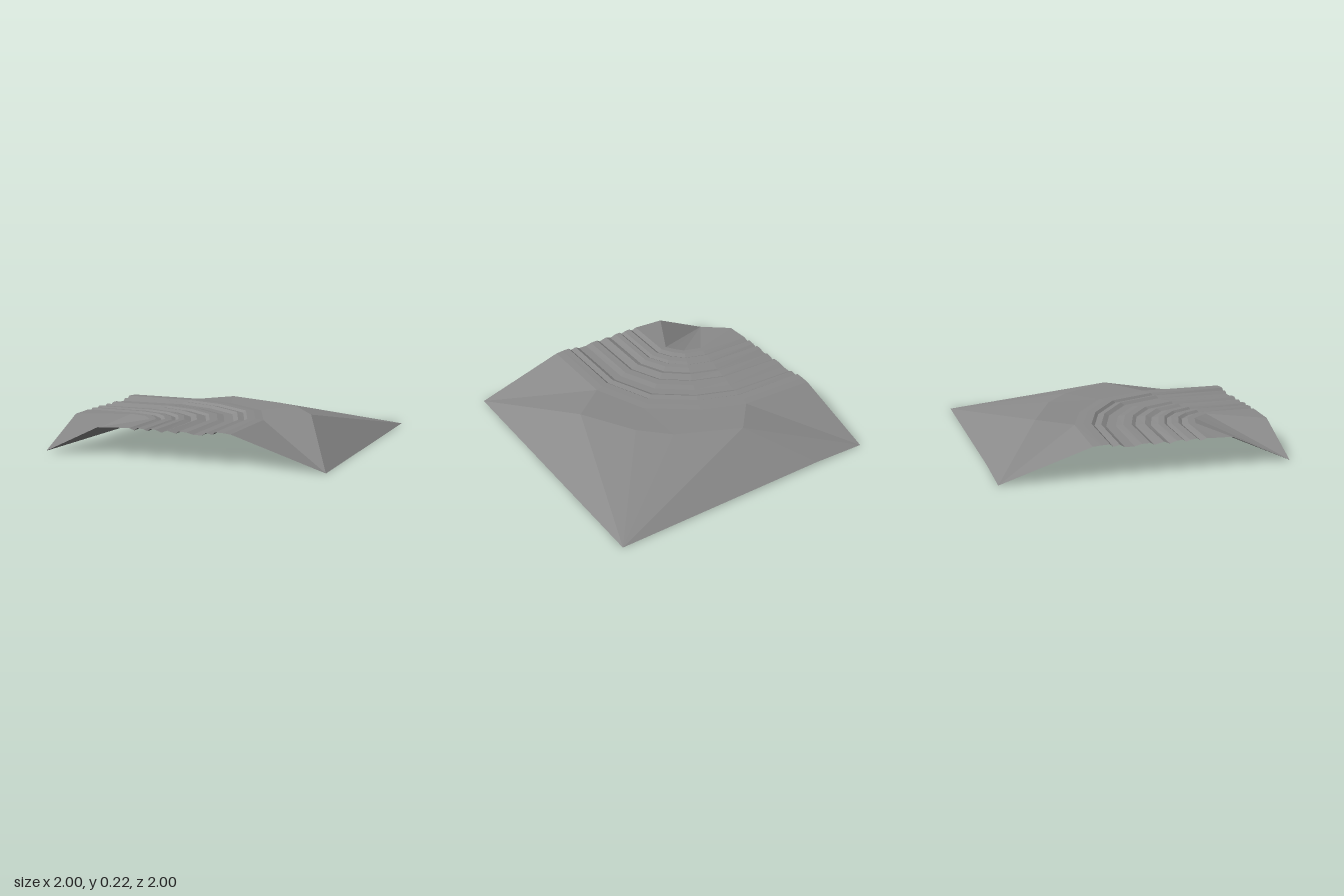
import * as THREE from 'three';

const earth = new THREE.MeshStandardMaterial({ color: 0x8a8a8a, flatShading: true, side: THREE.DoubleSide });
earth.name = 'grey earth';

// Faceted sheet from triangles of points, every face turned upwards
function sheet(name, triangles) {
  const points = [];
  for (const [a, b, c] of triangles) {
    const up = (b[2] - a[2]) * (c[0] - a[0]) - (b[0] - a[0]) * (c[2] - a[2]);
    points.push(...(up >= 0 ? [a, b, c] : [a, c, b]));
  }
  const geometry = new THREE.BufferGeometry();
  geometry.setAttribute('position', new THREE.Float32BufferAttribute(points.flat(), 3));
  geometry.computeVertexNormals();
  const mesh = new THREE.Mesh(geometry, earth);
  mesh.name = name;
  return mesh;
}

// Stations round the bend: inner x, z, outer x, z, rut depth factor
const stations = [
  [-1, 0.45, -1, -0.38, 1],
  [-0.62, 0.46, -0.45, -0.36, 0.75],
  [-0.49, 0.5, -0.13, -0.24, 0.8],
  [-0.44, 0.56, 0.2, 0.0, 0.8],
  [-0.4, 0.62, 0.36, 0.39, 0.8],
  [-0.41, 1, 0.36, 1, 1],
];

// Rutted cross-section from inner to outer edge: share of width, height
const profile = [
  [0, 0.198], [0.06, 0.2], [0.11, 0.186], [0.14, 0.203], [0.2, 0.198],
  [0.235, 0.187], [0.26, 0.203], [0.31, 0.2], [0.37, 0.184], [0.42, 0.2],
  [0.5, 0.184], [0.53, 0.199], [0.6, 0.197], [0.66, 0.185], [0.74, 0.184],
  [0.78, 0.203], [0.835, 0.193], [0.86, 0.211], [0.93, 0.209], [1, 0.204],
];

export function createModel() {
  const group = new THREE.Group();
  group.name = 'terrainTile';

  // Curved rutted track
  const rows = stations.map(([ix, iz, ox, oz, depth]) => profile.map(([s, y]) =>
    [ix + (ox - ix) * s, 0.2 + (y - 0.2) * depth, iz + (oz - iz) * s]));
  const track = [];
  for (let i = 0; i < rows.length - 1; i++) {
    for (let j = 0; j < profile.length - 1; j++) {
      const a = rows[i][j], b = rows[i + 1][j], c = rows[i + 1][j + 1], d = rows[i][j + 1];
      track.push([a, b, c], [a, c, d]);
    }
  }
  group.add(sheet('ruttedTrack', track));

  // Hillside outside the bend
  const A = rows.map(row => row[row.length - 1]);
  const backLeft = [-1, 0, -1], backRight = [1, 0, -1], frontRight = [1, 0, 1];
  const kink = [-0.6, 0.015, -1];
  const crest = [[-0.25, 0.203, -0.59], [0.2, 0.205, -0.39], [0.4, 0.214, -0.21], [0.63, 0.222, 0.16]];
  group.add(sheet('outerHillside', [
    [backLeft, A[0], A[1]], [backLeft, A[1], crest[0]], [backLeft, crest[0], kink],
    [kink, crest[0], backRight], [crest[0], crest[1], backRight],
    [crest[1], crest[2], backRight], [crest[2], crest[3], backRight],
    [crest[3], frontRight, backRight],
    [A[1], A[2], crest[0]], [A[2], crest[1], crest[0]], [A[2], A[3], crest[1]],
    [A[3], crest[2], crest[1]], [A[3], A[4], crest[2]], [A[4], crest[3], crest[2]],
    [A[4], frontRight, crest[3]], [A[4], A[5], frontRight],
  ]));

  // Corner slope inside the bend
  const I = rows.map(row => row[0]);
  const corner = [-1, 0, 1], left = [-1, 0.195, 0.58], front = [-0.6, 0.19, 1];
  group.add(sheet('innerCorner', [
    [corner, left, I[1]], [left, I[0], I[1]],
    [corner, I[1], I[2]], [corner, I[2], I[3]], [corner, I[3], I[4]],
    [corner, I[4], front], [front, I[4], I[5]],
  ]));
  return group;
}
